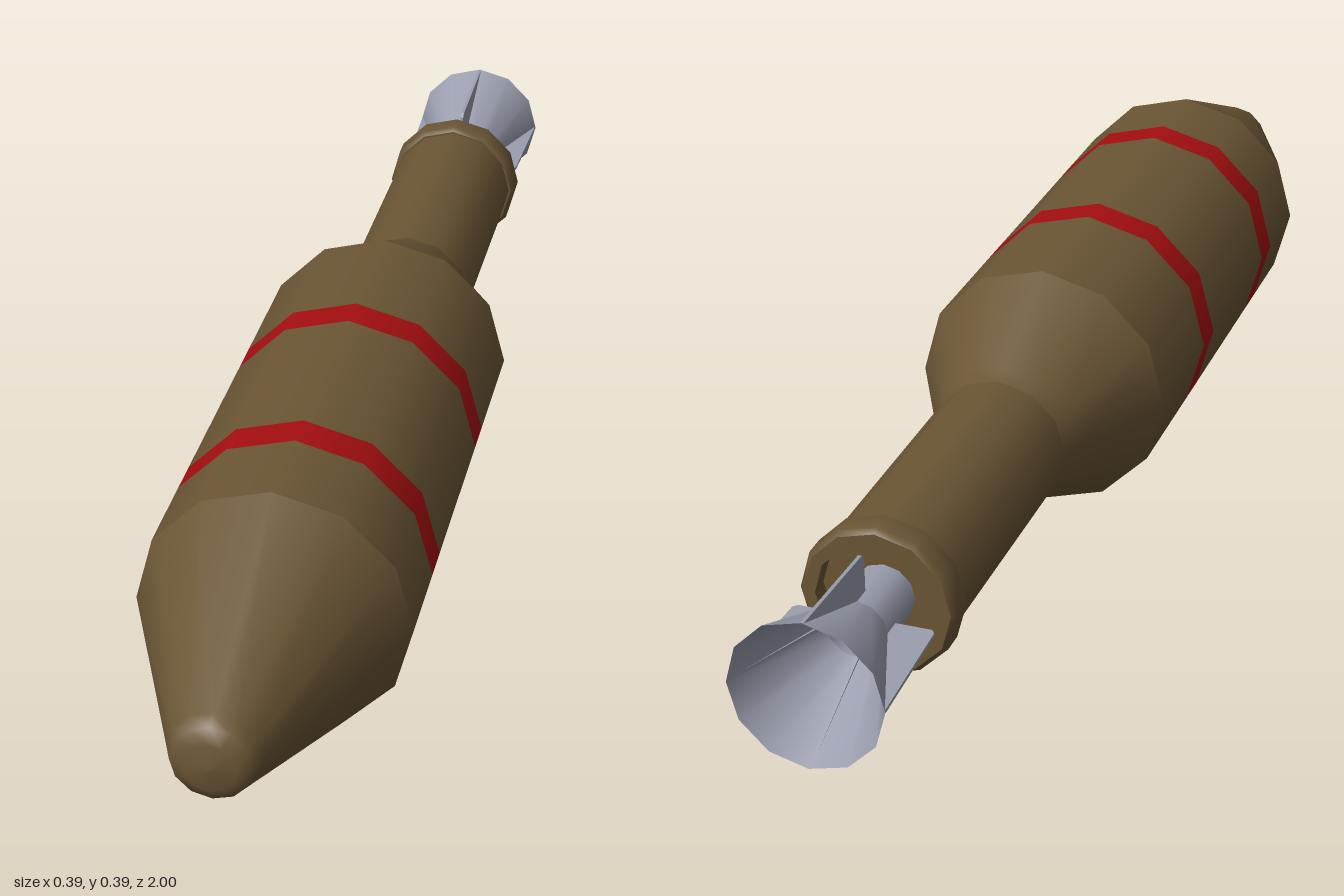
import * as THREE from 'three';

const SIDES = 12;
const CENTRE_Y = 0.195;

export function createModel() {
  const model = new THREE.Group();
  model.name = 'rocketShell';

  const brown = new THREE.MeshStandardMaterial({ color: 0x6b5635 });
  brown.name = 'olive brown';
  const red = new THREE.MeshStandardMaterial({ color: 0xa50e10 });
  red.name = 'band red';
  const grey = new THREE.MeshStandardMaterial({ color: 0x9a9eae, side: THREE.DoubleSide });
  grey.name = 'tail grey';

  // Revolve [radius, z] points, listed back to front, around the long axis
  function turned(name, points, material) {
    const geometry = new THREE.LatheGeometry(points.map(([r, z]) => new THREE.Vector2(r, z)), SIDES);
    geometry.rotateX(Math.PI / 2);
    const mesh = new THREE.Mesh(geometry, material);
    mesh.name = name;
    mesh.position.y = CENTRE_Y;
    model.add(mesh);
  }

  // Nose and its rounded tip
  turned('noseCone', [[0.193, 0.65], [0.063, 0.965]], brown);
  turned('noseTip', [[0.063, 0.965], [0.055, 0.985], [0.035, 0.996], [0, 1]], brown);

  // Main body cut into alternating brown sections and red bands
  const cuts = [-0.105, 0.11, 0.165, 0.46, 0.515, 0.65];
  for (let i = 0; i < cuts.length - 1; i++) {
    const band = i % 2 === 1;
    turned(band ? 'redBand' : 'bodySection', [[0.193, cuts[i]], [0.193, cuts[i + 1]]], band ? red : brown);
  }

  // Taper into the neck
  turned('shoulder', [[0.102, -0.3], [0.112, -0.27], [0.193, -0.105]], brown);
  turned('neck', [[0.102, -0.725], [0.102, -0.3]], brown);

  // Rear collar with a shallow recess around the tail tube
  turned('collarRecessFloor', [[0, -0.74], [0.088, -0.74]], brown);
  turned('collarRecessWall', [[0.088, -0.74], [0.088, -0.768]], brown);
  turned('collarRearFace', [[0.088, -0.768], [0.105, -0.768]], brown);
  turned('collarRim', [[0.105, -0.768], [0.112, -0.76], [0.112, -0.727], [0.105, -0.72]], brown);
  turned('collarFrontFace', [[0.105, -0.72], [0.1, -0.72]], brown);

  // Hollow tail tube flaring into the nozzle
  turned('tailTube', [[0.044, -0.835], [0.044, -0.74]], grey);
  turned('nozzle', [[0.108, -1], [0.044, -0.835]], grey);

  // Four thin fins between the tube and the nozzle rim
  const outline = new THREE.Shape([
    [0.04, -0.808], [0.095, -0.808], [0.1, -0.815], [0.107, -0.998], [0.04, -0.835],
  ].map(([r, z]) => new THREE.Vector2(r, z)));
  const finGeometry = new THREE.ExtrudeGeometry(outline, { depth: 0.005, bevelEnabled: false });
  finGeometry.translate(0, 0, -0.0025);
  finGeometry.rotateX(Math.PI / 2);
  for (let i = 0; i < 4; i++) {
    const fin = new THREE.Mesh(finGeometry, grey);
    fin.name = 'tailFin';
    fin.position.y = CENTRE_Y;
    fin.rotation.z = i * Math.PI / 2;
    model.add(fin);
  }

  return model;
}
